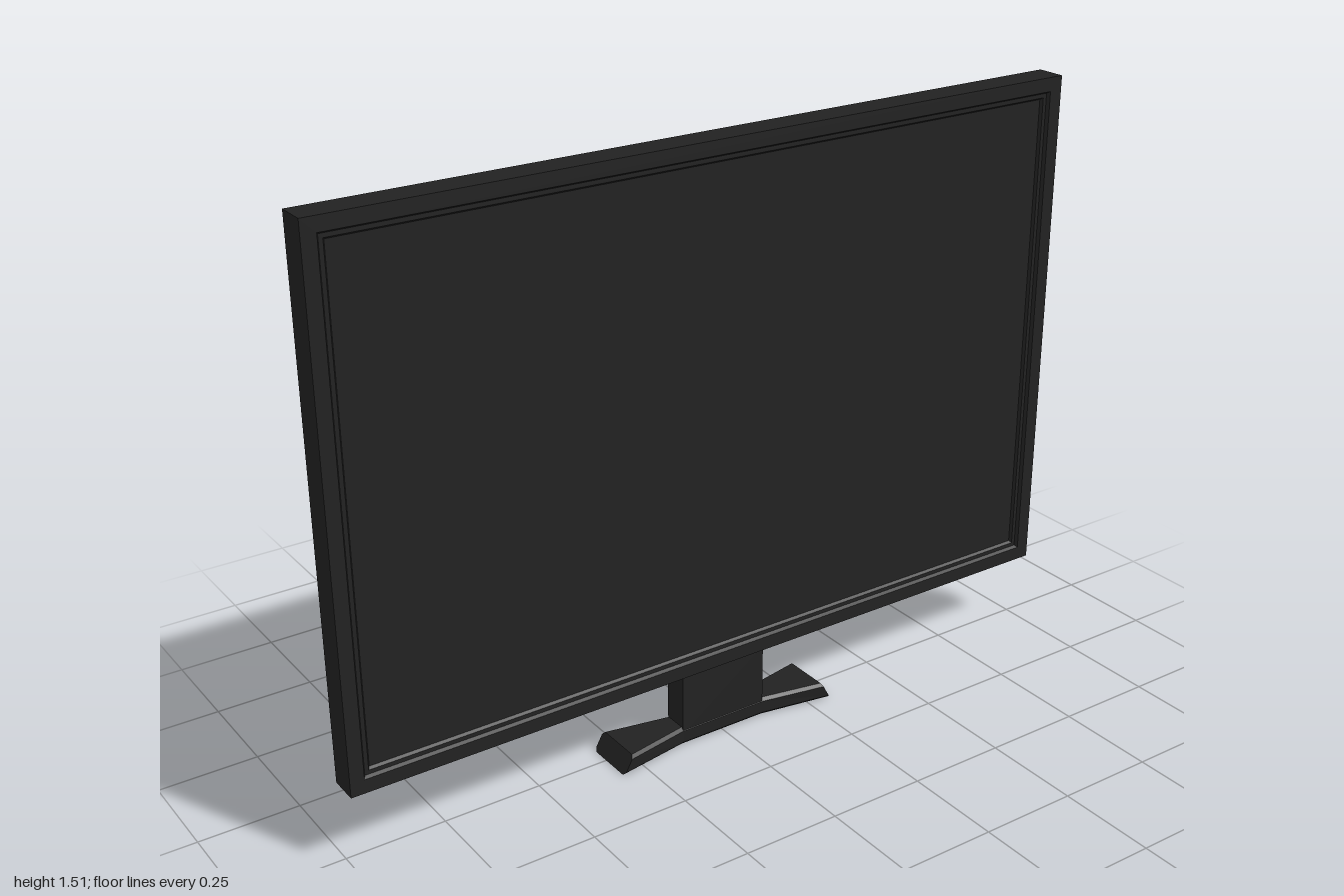
import * as THREE from 'three';

const mat = (color) => new THREE.MeshStandardMaterial({ color, flatShading: true });

// Skin a series of equal-length rings and cap both ends, giving a hard-edged solid
function loft(rings) {
  const pos = [];
  const tri = (a, b, c) => pos.push(...a, ...b, ...c);
  const n = rings[0].length;
  for (let i = 0; i < rings.length - 1; i++) {
    for (let j = 0; j < n; j++) {
      const k = (j + 1) % n;
      const [a, b, c, d] = [rings[i][j], rings[i][k], rings[i + 1][k], rings[i + 1][j]];
      tri(a, b, c);
      tri(a, c, d);
    }
  }
  const last = rings[rings.length - 1];
  for (let j = 1; j < n - 1; j++) {
    tri(rings[0][0], rings[0][j + 1], rings[0][j]);
    tri(last[0], last[j], last[j + 1]);
  }
  const g = new THREE.BufferGeometry();
  g.setAttribute('position', new THREE.Float32BufferAttribute(pos, 3));
  g.computeVertexNormals();
  return g;
}

// Rectangular ring at depth z, pulled in from the given bounds by inset
const rect = (x0, x1, y0, y1, inset, z) => [
  [x0 + inset, y0 + inset, z], [x1 - inset, y0 + inset, z],
  [x1 - inset, y1 - inset, z], [x0 + inset, y1 - inset, z],
];

export function createModel() {
  const model = new THREE.Group();
  model.name = 'television';
  const black = mat(0x222222);
  const add = (name, geometry, material = black) => {
    const mesh = new THREE.Mesh(geometry, material);
    mesh.name = name;
    model.add(mesh);
    return mesh;
  };

  // Cabinet: chamfered back, bezel, and a stepped recess down to the screen
  const cabinet = [[0.01, -0.025], [0, -0.015], [0, 0.06], [0.035, 0.06], [0.04, 0.052], [0.05, 0.052], [0.055, 0.045]];
  add('cabinet', loft(cabinet.map(([inset, z]) => rect(-1, 1, 0.195, 1.512, inset, z))));
  add('screen', new THREE.PlaneGeometry(1.89, 1.207)).position.set(0, 0.8535, 0.0455);

  // Neck
  add('neck', new THREE.BoxGeometry(0.24, 0.17, 0.066)).position.set(0, 0.118, 0.0175);

  // Foot: bow-tie plan, bevelled edges, ends sloping in towards the top
  const h = 0.048, b = 0.008, zc = 0.0155;
  const section = (x, w, slope) => [
    [b, -w], [h - b, -w], [h, b - w], [h, w - b],
    [h - b, w], [b, w], [0, w - b], [0, b - w],
  ].map(([y, z]) => [x - Math.sign(x) * slope * y, y, zc + z]);
  add('foot', loft([
    section(-0.312, 0.068, 0.55), section(-0.12, 0.036, 0),
    section(0.12, 0.036, 0), section(0.312, 0.068, 0.55),
  ]));

  // Socket plate on the back with three round connectors
  add('socketPlate', loft([
    rect(0.57, 0.888, 0.285, 0.46, 0.005, -0.053),
    rect(0.57, 0.888, 0.285, 0.46, 0, -0.048),
    rect(0.57, 0.888, 0.285, 0.46, 0, -0.02),
  ]));
  const plug = new THREE.CylinderGeometry(0.029, 0.029, 0.04, 24).rotateX(Math.PI / 2);
  [['redSocket', 0.622, 0xc8281e], ['whiteSocket', 0.727, 0xcccccc], ['yellowSocket', 0.832, 0xc8b432]]
    .forEach(([name, x, color]) => {
      const socket = add(name, plug, new THREE.MeshStandardMaterial({ color }));
      socket.position.set(x, 0.37, -0.066);
    });

  return model;
}
